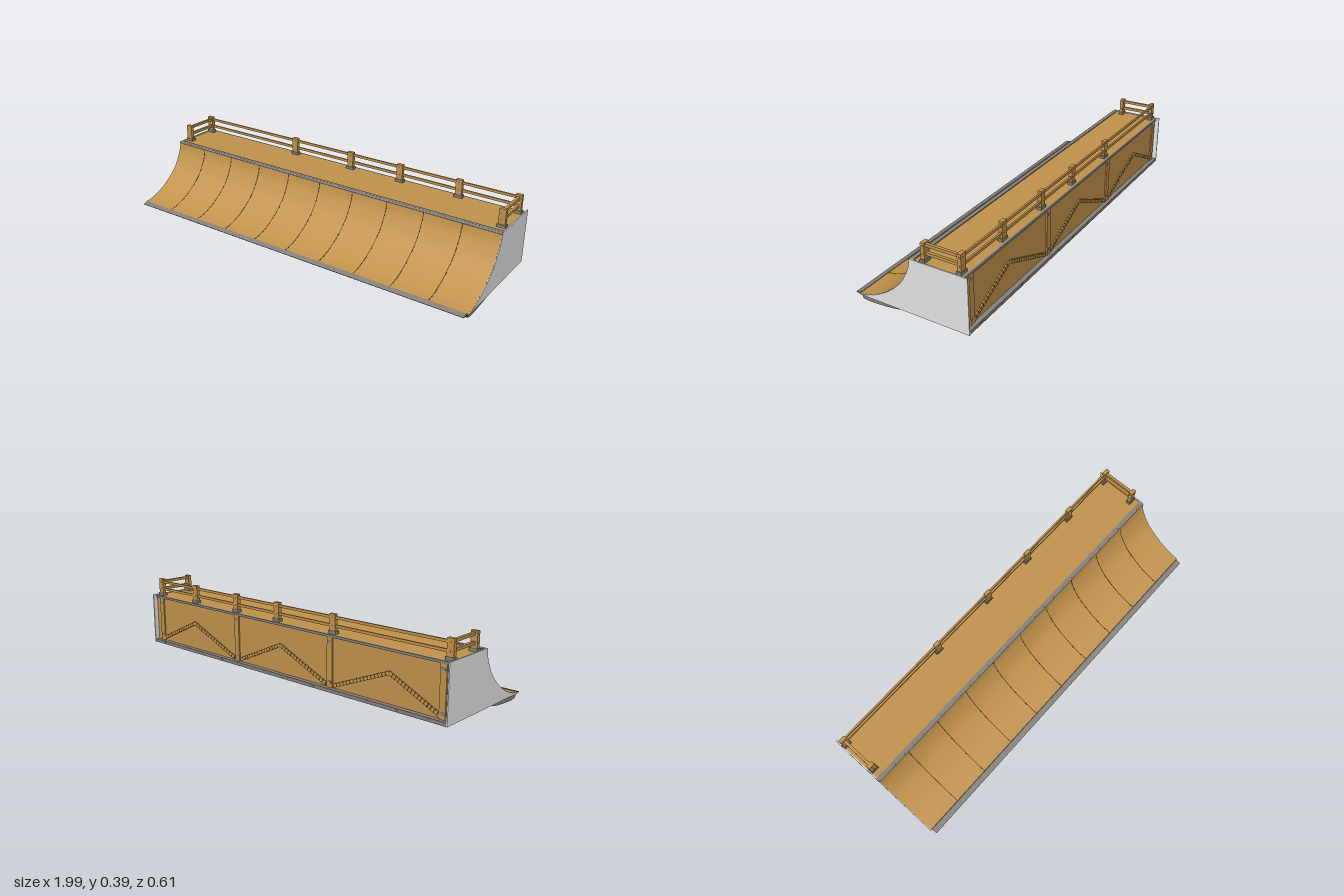
import * as THREE from 'three';
import { toCreasedNormals } from 'three/addons/utils/BufferGeometryUtils.js';

const material = (name, color) => {
  const m = new THREE.MeshStandardMaterial({ color });
  m.name = name;
  return m;
};

export function createModel() {
  const wood = material('warm wood', 0xc2934d);
  const seamMat = material('dark seam', 0x51401f);
  const panelGrey = material('light grey panel', 0xe4e4e4);
  const metal = material('grey metal', 0x86817b);
  const darkMetal = material('dark metal', 0x4a4947);

  const model = new THREE.Group();
  model.name = 'rampWithRailing';

  const add = (name, geo, mat, parent = model) => {
    const mesh = new THREE.Mesh(geo, mat);
    mesh.name = name;
    parent.add(mesh);
    return mesh;
  };
  const box = (name, mat, w, h, d, x, y, z, parent) => {
    const mesh = add(name, new THREE.BoxGeometry(w, h, d), mat, parent);
    mesh.position.set(x, y, z);
    return mesh;
  };
  // Extrude a (z, y) outline along x, centred on the given x
  const extrudeX = (name, mat, outline, width, x = 0) => {
    const geo = new THREE.ExtrudeGeometry(new THREE.Shape(outline), { depth: width, bevelEnabled: false });
    geo.rotateY(-Math.PI / 2);
    geo.translate(x + width / 2, 0, 0);
    return add(name, toCreasedNormals(geo, 0.5), mat);
  };
  const v = (z, y) => new THREE.Vector2(z, y);

  // Riding curve, from the coping down to the front lip
  const ride = new THREE.SplineCurve([
    v(-0.018, 0.295), v(-0.011, 0.26), v(0.001, 0.228), v(0.03, 0.176), v(0.06, 0.14),
    v(0.1, 0.105), v(0.15, 0.071), v(0.2, 0.047), v(0.24, 0.034), v(0.278, 0.028),
  ]).getPoints(36);
  // Band between two offsets of the riding curve
  const band = (low, high) => {
    const shift = (d) => ride.map((p, i) => {
      const a = ride[Math.max(i - 1, 0)], b = ride[Math.min(i + 1, ride.length - 1)];
      const t = b.clone().sub(a).normalize();
      return v(p.x - t.y * d, p.y + t.x * d);
    });
    return [...shift(high), ...shift(low).reverse()];
  };
  extrudeX('ridingSurface', wood, band(-0.003, 0.001), 1.984);
  for (let i = -4; i <= 4; i++) extrudeX('surfaceSeam', seamMat, band(-0.001, 0.0016), 0.004, i * 0.2);

  // Side panels
  const side = [v(-0.307, 0.025), v(0.278, 0.025), ...ride.slice().reverse(), v(-0.022, 0.3), v(-0.307, 0.3)];
  for (const s of [-1, 1]) extrudeX('sidePanel', panelGrey, side, 0.006, s * 0.992);

  // Deck, coping and back wall
  box('deck', wood, 1.978, 0.012, 0.25, 0, 0.289, -0.155);
  box('coping', metal, 1.986, 0.014, 0.018, 0, 0.293, -0.028);
  const pipe = add('copingPipe', new THREE.CylinderGeometry(0.006, 0.006, 1.986, 10), metal);
  pipe.rotation.z = Math.PI / 2;
  pipe.position.set(0, 0.294, -0.019);
  box('backWall', wood, 1.978, 0.26, 0.01, 0, 0.157, -0.276);
  box('deckBackTrim', metal, 1.978, 0.012, 0.01, 0, 0.289, -0.284);
  box('backLedge', metal, 1.978, 0.016, 0.026, 0, 0.034, -0.292);

  // Underside with its shallow belly
  extrudeX('underside', metal, [
    v(-0.305, 0.0245), v(0.03, 0.0245), v(0.06, 0.017), v(0.09, 0.011), v(0.14, 0.005),
    v(0.2, 0.001), v(0.235, 0), v(0.264, 0.004), v(0.27, 0.024), v(0.03, 0.0275), v(-0.305, 0.0275),
  ], 1.976);
  box('bellyFront', darkMetal, 1.974, 0.019, 0.004, 0, 0.014, 0.2685).rotation.x = 0.25;
  extrudeX('frontLip', metal, [
    v(0.264, 0.022), v(0.285, 0.019), v(0.305, 0.021), v(0.307, 0.024),
    v(0.292, 0.029), v(0.279, 0.031), v(0.272, 0.026),
  ], 1.97);

  // Ribbed chevron braces and uprights on the back wall
  const brace = (x1, y1, x2, y2) => {
    const length = Math.hypot(x2 - x1, y2 - y1);
    const group = new THREE.Group();
    group.name = 'brace';
    group.position.set((x1 + x2) / 2, (y1 + y2) / 2, -0.284);
    group.rotation.z = Math.atan2(y2 - y1, x2 - x1);
    model.add(group);
    box('braceBeam', wood, length, 0.018, 0.008, 0, 0, 0, group);
    for (let i = 1; i < 16; i++) {
      box('braceRib', seamMat, 0.005, 0.0185, 0.0088, (i / 16 - 0.5) * length, 0, 0, group);
    }
  };
  for (const [left, peak, right] of [[-0.95, -0.68, -0.36], [-0.31, -0.01, 0.28], [0.33, 0.65, 0.93]]) {
    brace(left, 0.055, peak, 0.185);
    brace(peak, 0.185, right, 0.055);
  }
  for (const x of [-0.955, -0.335, 0.305, 0.94]) {
    box('wallUpright', wood, 0.032, 0.245, 0.008, x, 0.163, -0.284);
    for (const y of [0.07, 0.26]) box('uprightPlate', metal, 0.02, 0.012, 0.01, x, y, -0.284);
  }
  for (let i = 0; i < 12; i++) box('ledgeBolt', metal, 0.012, 0.007, 0.003, -0.9 + i * 0.164, 0.034, -0.305);

  // Railing posts with feet and bolts
  const railing = new THREE.Group();
  railing.name = 'railing';
  model.add(railing);
  const bolt = (x, y, z, alongX) => {
    const b = add('bolt', new THREE.CylinderGeometry(0.0038, 0.0038, 0.003, 8), wood, railing);
    b.position.set(x, y, z);
    if (alongX) b.rotation.z = Math.PI / 2;
    else b.rotation.x = Math.PI / 2;
  };
  const railHeights = [0.333, 0.373];
  const post = (x, z, w, top) => {
    box('post', wood, w, top - 0.295, 0.019, x, (top + 0.295) / 2, z, railing);
    box('postFoot', metal, w + 0.01, 0.015, 0.025, x, 0.302, z, railing);
    for (const y of railHeights) {
      for (const s of [-1, 1]) {
        bolt(x + s * w / 2, y, z, true);
        bolt(x, y, z + s * 0.0095, false);
      }
    }
  };
  for (const x of [-0.97, -0.335, 0.03, 0.33, 0.66, 0.963]) post(x, -0.26, 0.034, 0.389);
  for (const x of [-0.968, 0.963]) post(x, -0.079, 0.034, 0.386);

  // Rails along the back and both ends
  for (const y of railHeights) {
    box('backRail', wood, 1.93, 0.013, 0.009, 0, y, -0.262, railing);
    for (const x of [-0.968, 0.963]) box('endRail', wood, 0.014, 0.014, 0.18, x, y, -0.17, railing);
  }
  return model;
}
